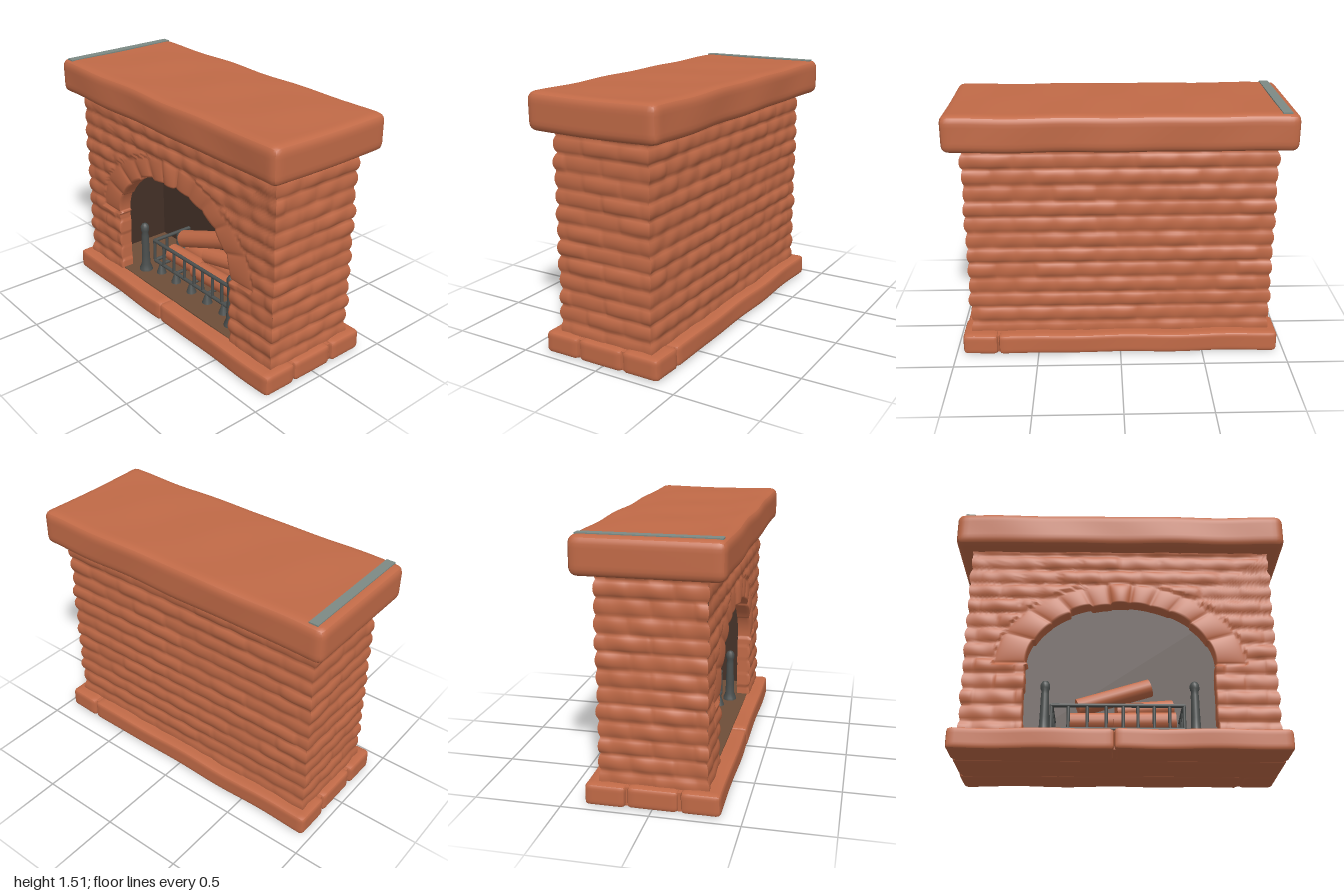
import * as THREE from 'three';
import { ParametricGeometry } from 'three/addons/geometries/ParametricGeometry.js';

const flat = (name, color) => {
  const m = new THREE.MeshStandardMaterial({ color });
  m.name = name;
  return m;
};
const hash = (a, b) => {
  const s = Math.sin(a * 127.1 + b * 311.7) * 43758.5453;
  return s - Math.floor(s);
};
const bump = (f, p) => Math.pow(Math.max(0, Math.sin(Math.PI * f)), p);
const lerp = THREE.MathUtils.lerp;

const BASE = 0.13, TOP = 1.3, HX = 0.9, HZ = 0.3;           // wall extents
const AX = 0.555, AY = 0.4, SPRING = 0.55, WEDGES = 11;     // arch opening

// Height of the brick surface: running bond courses
function courses(a, y) {
  const row = Math.floor(y / 0.0975), off = (row % 2) * 0.5;
  const col = a / 0.24 + off, id = Math.floor(col);
  const joint = 0.6 + 0.4 * bump(col - id, 0.3);
  return -0.009 + (0.012 + 0.01 * hash(row, id)) * bump(y / 0.0975 - row, 0.6) * joint
    + 0.002 * Math.sin(a * 37 + y * 23);
}

// Same on the front, with a ring of wedge bricks around the arch
function frontRelief(x, y) {
  const k = Math.hypot(x / AX, (y - SPRING) / AY);
  if (y < SPRING || k > 1.32) return courses(x, y);
  const w = Math.atan2(y - SPRING, x) / Math.PI * WEDGES, id = Math.floor(w);
  const key = id === 5 ? 0.014 : 0;
  return -0.008 + (0.014 + 0.008 * hash(id, 9) + key) * bump(w - id, 0.4)
    * bump(THREE.MathUtils.clamp((k - 0.8) / 0.52, 0, 1), 0.4);
}

// Pushes a point of the plain wall outward by the brick relief
function roughen(p) {
  const { x, y, z } = p;
  const wz = Math.pow(Math.abs(z) / HZ, 8), wx = Math.pow(Math.abs(x) / HX, 30);
  p.z += Math.sign(z) * wz * (z > 0 ? frontRelief(x, y) : courses(x + 0.1, y));
  p.x += Math.sign(x) * wx * courses(z + 3, y);
}

function surface(fn, nu, nv) {
  const g = new ParametricGeometry((u, v, p) => { fn(u, v, p); roughen(p); }, nu, nv);
  g.computeVertexNormals();
  return g;
}

// Front wall: rays from the arch edge out to the wall edge
function frontPoint(u, v, p) {
  const side = u > 0.5 ? 1 : -1, t = u > 0.5 ? 1 - u : u;
  const corner = Math.atan2(TOP - SPRING, HX);
  let ix, iy, ox, oy;
  if (t < 0.15) {
    iy = oy = lerp(BASE, SPRING, t / 0.15);
    ix = AX - 0.012 * hash(Math.floor(iy / 0.0975), side);
    ox = HX;
  } else {
    const th = t < 0.35 ? corner * (t - 0.15) / 0.2 : lerp(corner, Math.PI / 2, (t - 0.35) / 0.15);
    const c = Math.max(Math.cos(th), 1e-6), s = Math.max(Math.sin(th), 1e-6);
    const wedge = Math.floor((side > 0 ? th : Math.PI - th) / Math.PI * WEDGES);
    const r = (1.01 - 0.05 * hash(wedge, 4)) / Math.hypot(c / AX, s / AY);
    const R = Math.min(HX / c, (TOP - SPRING) / s);
    ix = r * c; iy = SPRING + r * s;
    ox = R * c; oy = SPRING + R * s;
  }
  const k = Math.max(0, (v - 0.1) / 0.9);                   // first tenth is the reveal
  p.set(side * lerp(ix, ox, k), lerp(iy, oy, k), v < 0.1 ? lerp(0.22, HZ, v / 0.1) : HZ);
}

// Block with rounded, slightly uneven faces
function stone(w, h, d, r, wob = 0.003) {
  const g = new THREE.BoxGeometry(w, h, d, Math.ceil(w / 0.025), 10, Math.ceil(d / 0.025));
  const pos = g.attributes.position, p = new THREE.Vector3(), q = new THREE.Vector3();
  const lim = new THREE.Vector3(w / 2 - r, h / 2 - r, d / 2 - r);
  for (let i = 0; i < pos.count; i++) {
    p.fromBufferAttribute(pos, i);
    q.copy(p).clamp(lim.clone().negate(), lim);
    p.sub(q).setLength(r).add(q);
    p.y += wob * Math.sin(q.x * 11 + 1) * Math.cos(q.z * 6);
    p.z += wob * Math.sin(q.x * 8 + q.y * 9);
    pos.setXYZ(i, p.x, p.y, p.z);
  }
  g.computeVertexNormals();
  return g;
}

export function createModel() {
  const model = new THREE.Group();
  model.name = 'fireplace';
  const brick = flat('brick', 0xc16a47), soot = flat('soot', 0x443127);
  const ash = flat('hearthFloor', 0x6e4e38), iron = flat('iron', 0x4b4f4e);
  const trim = flat('greyTrim', 0x7d8a84);
  const add = (name, geo, mat, x = 0, y = 0, z = 0, parent = model) => {
    const m = new THREE.Mesh(geo, mat);
    m.name = name;
    m.position.set(x, y, z);
    parent.add(m);
    return m;
  };
  const box = (w, h, d) => new THREE.BoxGeometry(w, h, d);

  // Brick walls
  add('frontWall', surface(frontPoint, 240, 40), brick);
  add('backWall', surface((u, v, p) => p.set(HX - 2 * HX * u, lerp(BASE, TOP, v), -HZ), 120, 100), brick);
  for (const s of [1, -1])
    add('sideWall', surface((u, v, p) => p.set(s * HX, lerp(BASE, TOP, v), s * (HZ - 2 * HZ * u)), 44, 100), brick);

  // Mantel shelf and its grey band
  add('mantel', stone(1.99, 0.215, 0.815, 0.045, 0.004), brick, 0, 1.4, 0);
  add('mantelBand', box(0.055, 0.008, 0.76), trim, -0.918, 1.509, 0);

  // Hearth slab: core plus separate stones [x0, x1, z0, z1]
  add('hearthCore', box(1.86, 0.11, 0.7), brick, 0, 0.067, 0);
  const stones = [
    [-0.955, -0.035, 0.16, 0.38], [-0.035, 0.955, 0.16, 0.38],
    [-0.95, 0.95, -0.135, 0.15],
    [-0.955, 0.74, -0.375, -0.145], [0.745, 0.955, -0.375, -0.145],
  ];
  for (const [x0, x1, z0, z1] of stones)
    add('hearthStone', stone(x1 - x0, 0.128, z1 - z0, 0.024), brick, (x0 + x1) / 2, 0.069, (z0 + z1) / 2);

  // Firebox lining
  add('fireboxBack', box(1.6, 1.1, 0.02), soot, 0, 0.68, -0.23);
  add('fireboxCeiling', box(1.6, 0.02, 0.46), soot, 0, 1.22, 0);
  for (const s of [-1, 1]) add('fireboxSide', box(0.02, 1.1, 0.46), soot, s * 0.79, 0.68, 0);
  add('fireboxFloor', box(1.6, 0.008, 0.44), ash, 0, 0.137, 0);
  add('fireboxThreshold', box(1.09, 0.008, 0.09), ash, 0, 0.137, 0.245);

  // Andiron posts
  const postProfile = [[0.045, 0], [0.042, 0.02], [0.03, 0.05], [0.027, 0.12], [0.024, 0.26], [0.021, 0.285],
    [0.028, 0.3], [0.028, 0.325], [0.018, 0.343], [0, 0.35]].map(([r, y]) => new THREE.Vector2(r, y));
  for (const s of [-1, 1]) add('andiron', new THREE.LatheGeometry(postProfile, 16), iron, s * 0.435, 0.135, 0.19);

  // Rod between two points, used for the grate and the logs
  const rod = (name, a, b, r, mat, parent, r2 = r) => {
    const A = new THREE.Vector3(...a), B = new THREE.Vector3(...b), d = B.clone().sub(A);
    const m = add(name, new THREE.CylinderGeometry(r2, r, d.length(), 14), mat, 0, 0, 0, parent);
    m.position.copy(A).add(B).multiplyScalar(0.5);
    m.quaternion.setFromUnitVectors(new THREE.Vector3(0, 1, 0), d.normalize());
  };

  // Grate basket
  const grate = new THREE.Group();
  grate.name = 'grate';
  model.add(grate);
  const X0 = -0.4, X1 = 0.375, ZF = 0.14, ZB = -0.15;
  for (const y of [0.205, 0.352]) {
    rod('frontRail', [X0, y, ZF], [X1, y, ZF], 0.012, iron, grate);
    for (const x of [X0, X1]) rod('sideRail', [x, y, ZF], [x, y, ZB], 0.012, iron, grate);
  }
  rod('backRail', [X0, 0.205, ZB], [X1, 0.205, ZB], 0.012, iron, grate);
  for (const x of [-0.4, -0.3, -0.19, -0.08, 0.02, 0.105, 0.2, 0.29, 0.375])
    rod('upright', [x, 0.2, ZF], [x, 0.355, ZF], 0.01, iron, grate);
  for (const x of [X0, X1])
    for (const z of [0.04, -0.055, ZB]) rod('sideUpright', [x, 0.2, z], [x, 0.355, z], 0.01, iron, grate);
  for (let i = 0; i < 5; i++) {
    const x = -0.33 + i * 0.16;
    rod('floorBar', [x, 0.205, ZF], [x, 0.205, ZB], 0.011, iron, grate);
    for (const z of [ZF, ZB]) rod('foot', [x, 0.138, z], [x, 0.205, z], 0.034, iron, grate, 0.012);
  }

  // Stacked logs
  const logs = [
    [[-0.31, 0.275, 0.06], [0.0, 0.28, 0.05], 0.058],
    [[-0.04, 0.27, 0.07], [0.33, 0.28, 0.06], 0.06],
    [[-0.28, 0.275, -0.08], [0.3, 0.28, -0.07], 0.06],
    [[-0.02, 0.36, 0.0], [0.32, 0.405, -0.05], 0.055],
    [[-0.25, 0.385, 0.01], [0.185, 0.535, -0.03], 0.056],
  ];
  for (const [a, b, r] of logs) rod('log', a, b, r, brick, model);

  return model;
}
